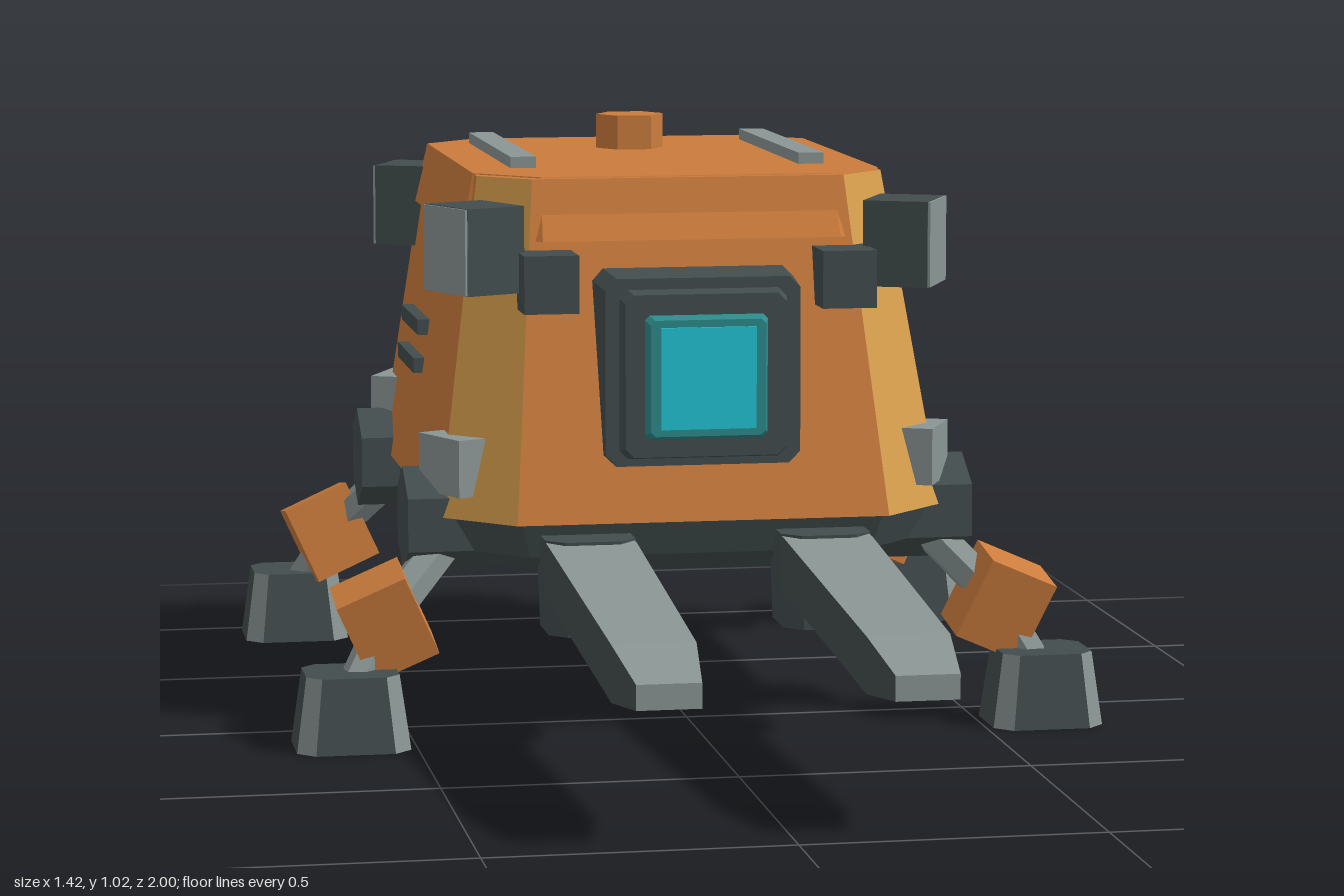
import * as THREE from 'three';

const mat = (name, color) => Object.assign(new THREE.MeshStandardMaterial({ color }), { name });

export function createModel() {
  const orange = mat('orange paint', 0xcb7c3c);
  const tan = mat('amber corner', 0xd9a04e);
  const dark = mat('dark metal', 0x434d4e);
  const grey = mat('light metal', 0x8a9694);
  const teal = mat('teal rim', 0x2c8c8c);
  const cyan = mat('cyan lens', 0x22c4d6);
  const MID = -0.39; // z of the body centre
  const root = new THREE.Group();
  root.name = 'loaderRobot';

  function add(name, geo, material, x = 0, y = 0, z = 0, parent = root) {
    const m = new THREE.Mesh(geo, material);
    m.name = name;
    m.position.set(x, y, z);
    parent.add(m);
    return m;
  }
  const box = (w, h, d) => new THREE.BoxGeometry(w, h, d);
  function prism(r, h, sides) {
    const g = new THREE.CylinderGeometry(r, r, h, sides).toNonIndexed();
    g.computeVertexNormals();
    return g;
  }

  // Flat-faced skin over rings; sideMat(i) and capMat choose the material index
  function loft(rings, sideMat = () => 0, endMat = 0) {
    const buckets = [[], []];
    const n = rings[0].length;
    const tri = (k, ...p) => p.forEach(v => buckets[k].push(...v));
    for (let r = 0; r < rings.length - 1; r++) {
      const lo = rings[r], hi = rings[r + 1];
      for (let i = 0; i < n; i++) {
        const j = (i + 1) % n;
        tri(sideMat(i), lo[i], lo[j], hi[j]);
        tri(sideMat(i), lo[i], hi[j], hi[i]);
      }
    }
    const first = rings[0], last = rings[rings.length - 1];
    for (let i = 1; i < n - 1; i++) {
      tri(0, first[0], first[i + 1], first[i]);
      tri(endMat, last[0], last[i], last[i + 1]);
    }
    const g = new THREE.BufferGeometry();
    g.setAttribute('position', new THREE.Float32BufferAttribute([...buckets[0], ...buckets[1]], 3));
    g.addGroup(0, buckets[0].length / 3, 0);
    g.addGroup(buckets[0].length / 3, buckets[1].length / 3, 1);
    g.computeVertexNormals();
    return g;
  }
  // Rectangle with cut corners at height y; odd sides are the corner cuts
  const oct = (y, hx, z0, z1, c) => [
    [hx, y, z1 - c], [hx, y, z0 + c], [hx - c, y, z0], [-hx + c, y, z0],
    [-hx, y, z0 + c], [-hx, y, z1 - c], [-hx + c, y, z1], [hx - c, y, z1],
  ];
  const corner = i => i % 2;

  // Body shell with amber corners, and the slightly raised roof cap
  add('body', loft([oct(0.38, 0.445, -0.96, 0.18, 0.12), oct(0.96, 0.36, -0.87, 0.02, 0.085)], corner), [orange, tan]);
  add('roofCap', loft([oct(0.855, 0.387, -0.9, 0.06, 0.125), oct(0.962, 0.362, -0.865, 0.004, 0.105)]), orange);

  // Chassis and battery box underneath
  add('chassis', loft([oct(0.285, 0.37, -0.88, 0.1, 0.12), oct(0.32, 0.42, -0.93, 0.15, 0.12),
    oct(0.38, 0.435, -0.95, 0.17, 0.12)]), dark);
  add('batteryBox', loft([oct(0.225, 0.22, -0.81, -0.44, 0.04), oct(0.3, 0.23, -0.82, -0.43, 0.04)]), dark);

  // Roof knob
  const knob = add('roofKnob', prism(0.063, 0.07, 6), orange, 0, 0.99, -0.61);
  knob.rotation.y = Math.PI / 2;

  // Square eye: stepped frame, rim and lens
  const frame = (hx, h, depth, c) => loft([oct(0, hx, -h, h, c), oct(depth, hx - 0.01, -h + 0.01, h - 0.01, c)]).rotateX(Math.PI / 2);
  add('eyeFrame', frame(0.18, 0.172, 0.13, 0.02), dark, 0, 0.638, 0.035);
  add('eyeInnerFrame', frame(0.15, 0.15, 0.05, 0.015), dark, 0, 0.635, 0.145);
  add('eyeRim', frame(0.11, 0.11, 0.03, 0.008), teal, 0, 0.633, 0.185);
  add('eyeLens', box(0.165, 0.175, 0.008), cyan, 0, 0.633, 0.217);

  // Fork cross-section at z
  const bar = (z, hw, y0, y1) => [[-hw, y0, z], [hw, y0, z], [hw, y1, z], [-hw, y1, z]];

  for (const s of [-1, 1]) {
    // Fork tine with light top and tip, and its mount
    add('forkTine', loft([bar(0.2, 0.077, 0.262, 0.357), bar(0.24, 0.077, 0.26, 0.355),
      bar(0.86, 0.068, 0.207, 0.3), bar(1, 0.052, 0.222, 0.263)], i => (i === 2 ? 1 : 0), 1), [dark, grey], s * 0.205);
    add('forkMount', loft([oct(0.195, 0.072, 0.08, 0.24, 0.03), oct(0.36, 0.078, 0.08, 0.245, 0.03)]), dark, s * 0.205);

    add('roofRail', box(0.046, 0.03, 0.57), grey, s * 0.26, 0.967, -0.475);
    add('frontLampBlock', box(0.095, 0.1, 0.12), dark, s * 0.26, 0.79, 0.09);
    add('rearLampBlock', box(0.1, 0.095, 0.1), dark, s * 0.26, 0.703, -0.89);
    for (const y of [0.585, 0.655]) {
      const vent = add('sideVent', box(0.03, 0.028, 0.25), dark, s * (0.553 - 0.1466 * y - 0.05), y, -0.535);
      vent.position.x = s * (y > 0.6 ? 0.41 : 0.418);
    }

    for (const f of [-1, 1]) {
      const at = dz => MID + f * dz;
      const turn = -s * f * 0.44;

      // Upper corner pad with a light face plate
      const pad = new THREE.Group();
      pad.name = 'cornerPad';
      pad.position.set(s * 0.378, 0.845, at(0.433));
      pad.rotation.y = turn;
      root.add(pad);
      add('padBlock', box(0.115, 0.15, 0.135), dark, 0, 0, 0, pad);
      add('padPlate', box(0.008, 0.148, 0.133), grey, s * 0.058, 0, 0, pad);

      // Lower corner bracket
      add('cornerBracket', box(0.08, 0.1, 0.13), grey, s * 0.408, 0.47, at(0.425)).rotation.y = turn;

      // Hip joint
      const hip = add('hipJoint', prism(0.093, 0.15, 6).rotateY(Math.PI / 2).rotateZ(Math.PI / 2), dark, s * 0.425, 0.367, at(0.375));
      hip.rotation.x = Math.PI / 2;
      hip.rotation.x = 0;

      // Leg struts, knee block and foot
      const strut = (name, a, b, r) => {
        const p = new THREE.Vector3(...a), q = new THREE.Vector3(...b);
        const m = add(name, prism(r, p.distanceTo(q), 6), grey);
        m.position.copy(p).lerp(q, 0.5);
        m.quaternion.setFromUnitVectors(new THREE.Vector3(0, 1, 0), q.sub(p).normalize());
      };
      const knee = [s * 0.545, 0.207, at(0.475)];
      strut('upperStrut', [s * 0.43, 0.33, at(0.4)], knee, 0.035);
      strut('lowerStrut', knee, [s * 0.61, 0.09, at(0.525)], 0.03);
      add('kneeBlock', box(0.128, 0.15, 0.12), orange, ...knee).rotation.set(f * 0.15, 0, -s * 0.42);
      add('foot', loft([oct(0, 0.098, -0.085, 0.085, 0.03), oct(0.13, 0.08, -0.07, 0.07, 0.025)], corner),
        [dark, grey], s * 0.61, 0, at(0.525));
    }
  }
  return root;
}
